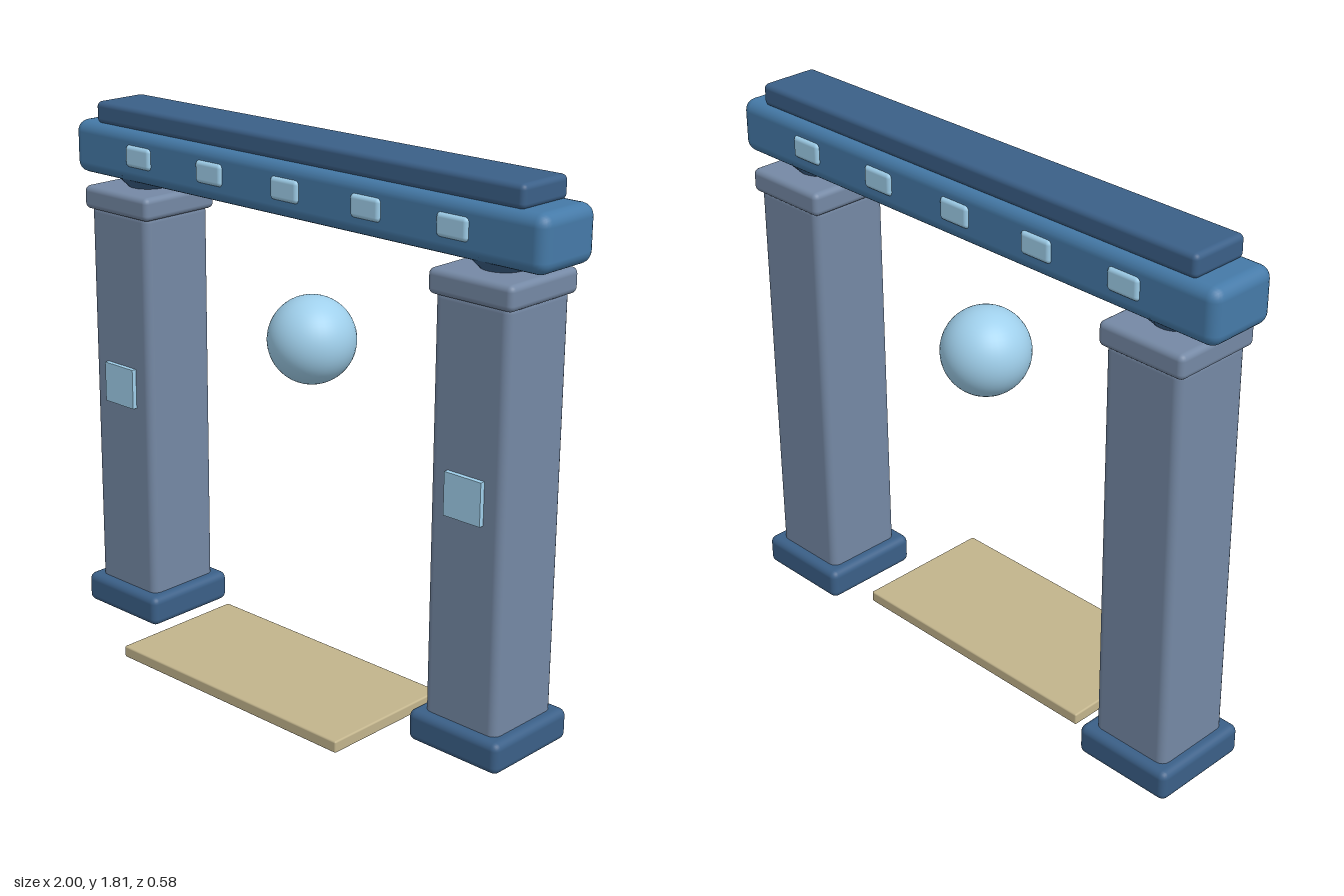
import * as THREE from 'three';
import { RoundedBoxGeometry } from 'three/addons/geometries/RoundedBoxGeometry.js';

const GATE_Z = -0.113;
const PILLAR_X = 0.763;

const paint = (color) => new THREE.MeshStandardMaterial({ color });

export function createModel() {
  const model = new THREE.Group();
  const navy = paint(0x3b6088);
  const blue = paint(0x457aa8);
  const stone = paint(0x7589a5);
  const glow = paint(0xa0d0ec);
  const sand = paint(0xc2b48c);

  const add = (parent, name, geometry, material, x, y, z) => {
    const mesh = new THREE.Mesh(geometry, material);
    mesh.name = name;
    mesh.position.set(x, y, z);
    parent.add(mesh);
    return mesh;
  };
  // Rounded block given by its bottom and top heights
  const block = (parent, name, material, w, y0, y1, d, r, x = 0, z = GATE_Z) =>
    add(parent, name, new RoundedBoxGeometry(w, y1 - y0, d, 3, r), material, x, (y0 + y1) / 2, z);

  // Pillars: base, shaft, cap, bracket and front panel
  for (const side of [-1, 1]) {
    const pillar = new THREE.Group();
    pillar.name = side > 0 ? 'leftPillar' : 'rightPillar';
    pillar.position.x = side * PILLAR_X;
    model.add(pillar);
    block(pillar, 'pillarBase', navy, 0.356, 0, 0.106, 0.356, 0.025);
    block(pillar, 'pillarShaft', stone, 0.285, 0.03, 1.47, 0.285, 0.03);
    block(pillar, 'pillarCap', stone, 0.315, 1.45, 1.53, 0.315, 0.02);
    add(pillar, 'pillarBracket', new THREE.CylinderGeometry(0.12, 0.06, 0.06, 24), navy, 0, 1.55, GATE_Z);
    add(pillar, 'pillarPanel', new THREE.BoxGeometry(0.14, 0.14, 0.03), glow, 0, 0.852, 0.031);
  }

  // Lintel with a thinner beam on top
  block(model, 'lintel', blue, 2, 1.56, 1.74, 0.25, 0.04);
  block(model, 'topBeam', navy, 1.815, 1.735, 1.81, 0.207, 0.018);

  // Light tiles along both faces of the lintel
  for (const face of [-1, 1]) {
    for (let i = -2; i <= 2; i++) {
      block(model, 'lightTile', glow, 0.12, 1.617, 1.692, 0.04, 0.015, i * 0.336, GATE_Z + face * 0.115);
    }
  }

  // Floating orb
  add(model, 'orb', new THREE.SphereGeometry(0.145, 40, 28), glow, 0, 1.147, GATE_Z);

  // Threshold slab
  block(model, 'threshold', sand, 0.98, 0, 0.04, 0.49, 0.006, 0, 0.045);

  return model;
}
